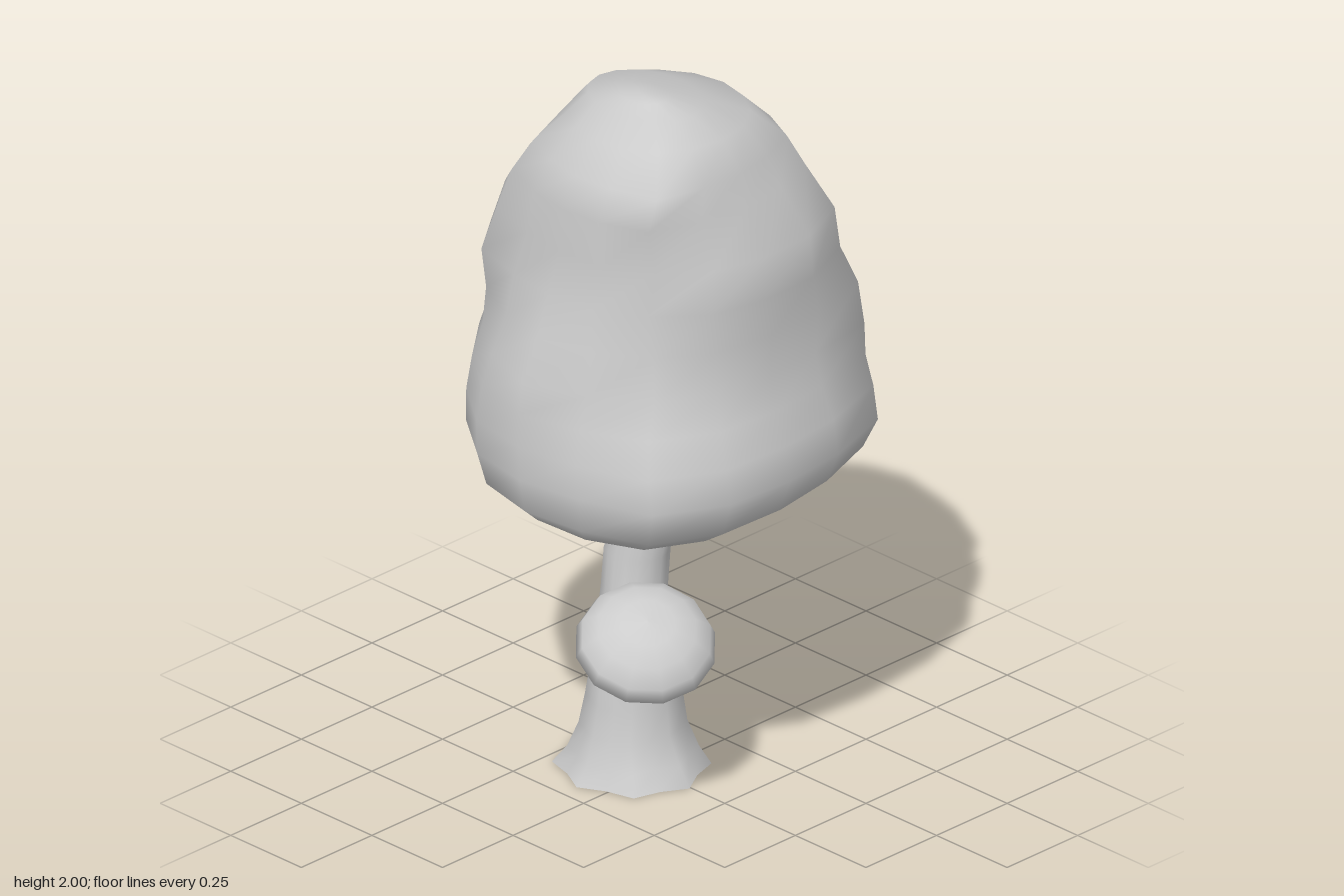
import * as THREE from 'three';
import { mergeVertices } from 'three/addons/utils/BufferGeometryUtils.js';

const material = new THREE.MeshStandardMaterial({ color: 0xcccccc, side: THREE.DoubleSide });
const { smoothstep, lerp } = THREE.MathUtils;
const SIDES = 16;

// Skin closed cross-sections, bottom to top; pointAt(section, side) gives [x, y, z]
function loft(sections, pointAt) {
  const positions = [], index = [];
  sections.forEach((section, i) => {
    for (let j = 0; j < SIDES; j++) {
      positions.push(...pointAt(section, j));
      if (i === sections.length - 1) continue;
      const a = i * SIDES + j, b = i * SIDES + ((j + 1) % SIDES);
      index.push(a, a + SIDES, b, b, a + SIDES, b + SIDES);
    }
  });
  let geometry = new THREE.BufferGeometry();
  geometry.setAttribute('position', new THREE.Float32BufferAttribute(positions, 3));
  geometry.setIndex(index);
  geometry = mergeVertices(geometry, 1e-5);
  geometry.computeVertexNormals();
  return geometry;
}

// Outline from radii around the axis (+x towards +z), fitted into a -1..1 square
function outline(radii) {
  const points = radii.map((r, j) => {
    const angle = (j / SIDES) * Math.PI * 2;
    return new THREE.Vector2(r * Math.cos(angle), r * Math.sin(angle));
  });
  const box = new THREE.Box2().setFromPoints(points);
  const center = box.getCenter(new THREE.Vector2());
  const half = box.getSize(new THREE.Vector2()).multiplyScalar(0.5);
  return points.map((p) => p.sub(center).divide(half));
}

const ROUND = outline(Array(SIDES).fill(1));
const LOWER = outline([
  0.483, 0.51, 0.53, 0.478, 0.47, 0.475, 0.467, 0.488,
  0.487, 0.465, 0.50, 0.505, 0.476, 0.50, 0.56, 0.50,
]);
const WAIST = outline([
  0.41, 0.42, 0.435, 0.435, 0.467, 0.44, 0.43, 0.445,
  0.455, 0.41, 0.39, 0.40, 0.39, 0.42, 0.525, 0.435,
]);
const UPPER = outline([
  0.415, 0.41, 0.385, 0.375, 0.36, 0.37, 0.425, 0.435,
  0.42, 0.39, 0.405, 0.42, 0.43, 0.452, 0.475, 0.444,
]);
const HEAD = outline([1, 1.04, 1.2, 1.04, 1, 1, 1.08, 1, 1, 1, 1.03, 1, 1, 1, 1.08, 1]);

// Crown outlines by height, each blending into the next
const OUTLINES = [
  [0.78, ROUND], [0.94, LOWER], [1.08, LOWER], [1.28, WAIST],
  [1.46, UPPER], [1.62, UPPER], [1.8, HEAD], [1.93, ROUND], [2.1, ROUND],
];

// Crown ring inside the extents [y, xMin, xMax, zMin, zMax]
function crownPoint([y, x0, x1, z0, z1], side) {
  const k = OUTLINES.findIndex(([height]) => height > y);
  const [fromY, from] = OUTLINES[k - 1], [toY, to] = OUTLINES[k];
  const p = from[side].clone().lerp(to[side], smoothstep(y, fromY, toY));
  // Underside sags on two opposite sides
  const sag = x0 === x1 ? 0 : 0.022 * (1 - smoothstep(y, 0.82, 0.96));
  const angle = (side / SIDES) * Math.PI * 2;
  return [
    lerp(x0, x1, (p.x + 1) / 2),
    y - sag * Math.cos(2 * (angle - 0.7)),
    lerp(z0, z1, (p.y + 1) / 2),
  ];
}

const CROWN = [
  [0.875, -0.04, -0.04, -0.03, -0.03],
  [0.812, -0.32, 0.22, -0.26, 0.26],
  [0.85, -0.38, 0.37, -0.39, 0.41],
  [0.90, -0.44, 0.45, -0.465, 0.465],
  [0.99, -0.487, 0.483, -0.477, 0.477],
  [1.08, -0.485, 0.465, -0.477, 0.475],
  [1.17, -0.475, 0.435, -0.43, 0.472],
  [1.26, -0.455, 0.412, -0.393, 0.467],
  [1.37, -0.42, 0.41, -0.43, 0.42],
  [1.48, -0.41, 0.412, -0.42, 0.38],
  [1.60, -0.37, 0.412, -0.39, 0.357],
  [1.72, -0.30, 0.35, -0.335, 0.357],
  [1.81, -0.235, 0.335, -0.275, 0.33],
  [1.89, -0.17, 0.28, -0.19, 0.265],
  [1.95, -0.11, 0.22, -0.04, 0.21],
  [1.985, 0.02, 0.16, 0.07, 0.18],
  [2.0, 0.09, 0.09, 0.15, 0.15],
];

// Trunk extents with a root flare amount: [y, xMin, xMax, zMin, zMax, flare]
const TRUNK = [
  [0, -0.28, 0.13, -0.19, 0.20, 0.06],
  [0.05, -0.235, 0.095, -0.16, 0.17, 0.05],
  [0.12, -0.20, 0.06, -0.137, 0.148, 0.04],
  [0.20, -0.187, 0.048, -0.125, 0.13, 0.03],
  [0.35, -0.157, 0.02, -0.11, 0.115, 0.02],
  [0.50, -0.163, 0.013, -0.085, 0.075, 0.02],
  [0.60, -0.158, 0.015, -0.092, 0.07, 0.02],
  [0.70, -0.145, 0.025, -0.11, 0.045, 0.02],
  [0.80, -0.12, 0.038, -0.11, 0.03, 0],
  [0.92, -0.11, 0.045, -0.105, 0.03, 0],
];

function trunkPoint([y, x0, x1, z0, z1, flare], side) {
  const angle = (side / SIDES) * Math.PI * 2;
  const r = 1 + flare * (Math.cos(angle * 8) - 1);
  return [
    (x0 + x1) / 2 + (r * Math.cos(angle) * (x1 - x0)) / 2, y,
    (z0 + z1) / 2 + (r * Math.sin(angle) * (z1 - z0)) / 2,
  ];
}

export function createModel() {
  const group = new THREE.Group();
  const add = (name, geometry) => {
    const mesh = new THREE.Mesh(geometry, material);
    mesh.name = name;
    group.add(mesh);
    return mesh;
  };

  add('crown', loft(CROWN, crownPoint));
  add('trunk', loft(TRUNK, trunkPoint));

  // Small branch that bends up into its own leaf clump
  const branchPath = new THREE.CatmullRomCurve3([
    new THREE.Vector3(-0.06, 0.42, 0.0),
    new THREE.Vector3(0.02, 0.41, 0.06),
    new THREE.Vector3(0.09, 0.425, 0.125),
    new THREE.Vector3(0.13, 0.47, 0.165),
  ]);
  add('branch', new THREE.TubeGeometry(branchPath, 8, 0.02, 7, false));

  // Domed leaf clump, tilted outward
  const profile = [
    [0, -0.025], [0.09, -0.023], [0.15, -0.013], [0.18, 0.012],
    [0.166, 0.05], [0.126, 0.088], [0.07, 0.112], [0, 0.122],
  ].map(([r, y]) => new THREE.Vector2(r, y));
  const clump = add('leafClump', new THREE.LatheGeometry(profile, 12));
  clump.position.set(0.135, 0.457, 0.167);
  clump.quaternion.setFromUnitVectors(
    new THREE.Vector3(0, 1, 0),
    new THREE.Vector3(0.45, 1, 0.36).normalize(),
  );

  return group;
}
